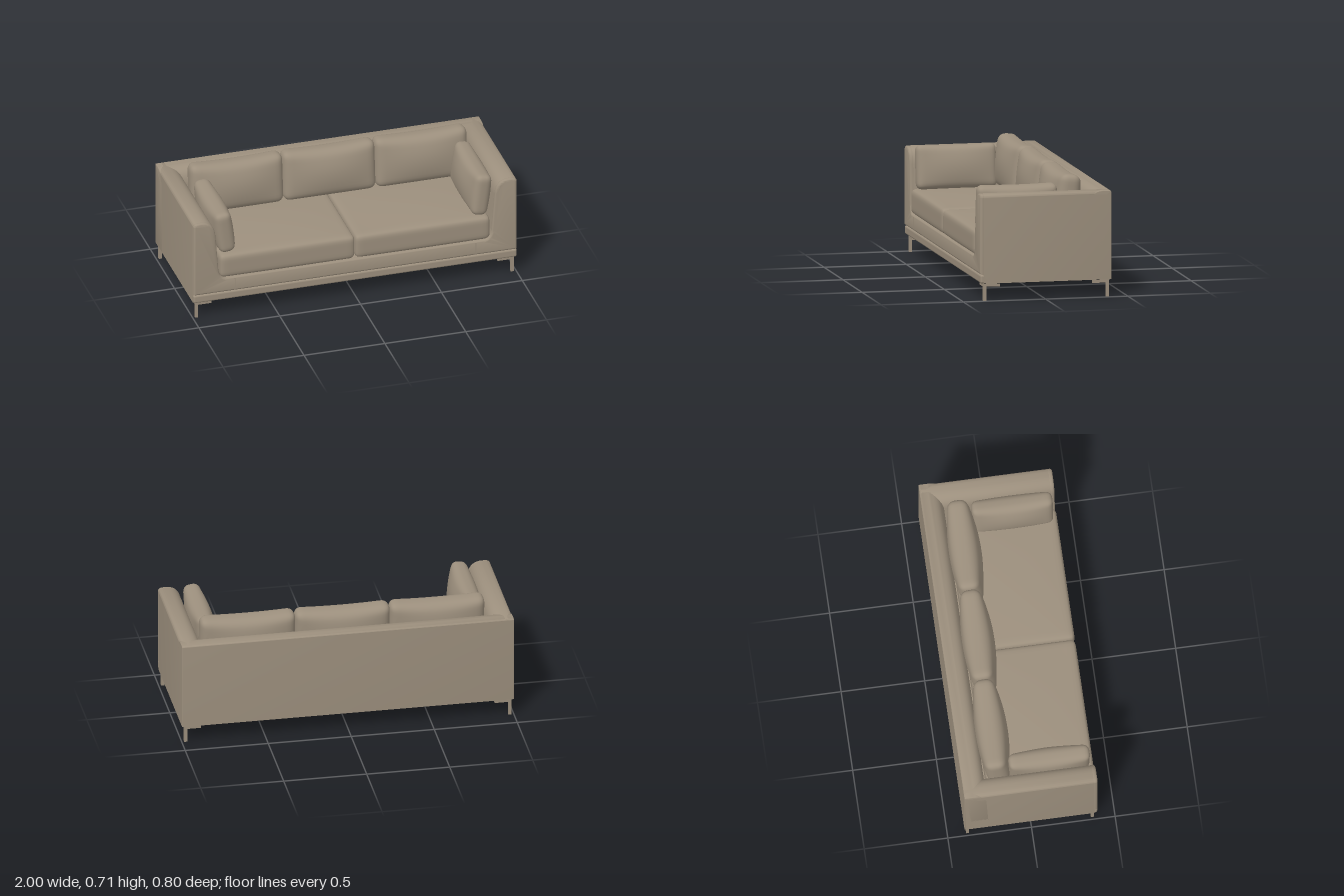
import * as THREE from 'three';
import { mergeVertices, toCreasedNormals } from 'three/addons/utils/BufferGeometryUtils.js';
import { RoundedBoxGeometry } from 'three/addons/geometries/RoundedBoxGeometry.js';

const fabric = new THREE.MeshStandardMaterial({ color: 0x9c8f7d });
fabric.name = 'taupe fabric';
const lining = new THREE.MeshStandardMaterial({ color: 0x111111 });
lining.name = 'black lining';

function add(parent, name, geometry, material = fabric) {
  const mesh = new THREE.Mesh(geometry, material);
  mesh.name = name;
  parent.add(mesh);
  return mesh;
}

// Stuffed cushion lying in the xy plane: rounded box, thicker by `crown` in the
// middle of each face, with the top edge dipped by `dip` between the corners.
function cushionGeometry(w, h, t, r, crown, dip) {
  let g = new THREE.BoxGeometry(2, 2, 2, 24, 20, 12);
  g.deleteAttribute('uv');
  g.deleteAttribute('normal');
  g = mergeVertices(g);
  const half = new THREE.Vector3(w / 2, h / 2, t / 2);
  const inner = half.clone().subScalar(r);
  const p = new THREE.Vector3(), core = new THREE.Vector3();
  const pos = g.attributes.position;
  for (let i = 0; i < pos.count; i++) {
    p.fromBufferAttribute(pos, i);
    // crowd the grid towards the edges so the rounding is smooth
    p.set(...p.toArray().map((c) => Math.sin((c * Math.PI) / 2))).multiply(half);
    core.copy(p).clamp(inner.clone().negate(), inner);
    p.sub(core).setLength(r).add(core);
    const u = p.x / half.x, v = p.y / half.y;
    p.z *= 1 + (crown / half.z) * (1 - u * u) * (1 - v * v);
    if (v > 0) p.y -= dip * (1 - u * u) * v;
    pos.setXYZ(i, p.x, p.y, p.z);
  }
  g.computeVertexNormals();
  return g;
}

// U-shaped front outline of the frame, with rolled inner arm edges
function frameShape(bottom) {
  const s = new THREE.Shape();
  s.moveTo(-1, bottom);
  s.lineTo(1, bottom);
  s.lineTo(1, 0.615);
  s.quadraticCurveTo(1, 0.638, 0.965, 0.638);
  s.bezierCurveTo(0.9, 0.642, 0.868, 0.61, 0.863, 0.54);
  s.lineTo(0.845, 0.31);
  s.quadraticCurveTo(0.838, 0.248, 0.785, 0.248);
  s.lineTo(-0.785, 0.248);
  s.quadraticCurveTo(-0.838, 0.248, -0.845, 0.31);
  s.lineTo(-0.863, 0.54);
  s.bezierCurveTo(-0.868, 0.61, -0.9, 0.642, -0.965, 0.638);
  s.quadraticCurveTo(-1, 0.638, -1, 0.615);
  s.closePath();
  return s;
}

function extrude(shape, depth, bevel) {
  const g = new THREE.ExtrudeGeometry(shape, {
    depth: depth - 2 * bevel, curveSegments: 12, bevelEnabled: bevel > 0,
    bevelSize: bevel, bevelThickness: bevel, bevelOffset: -bevel, bevelSegments: 4,
  });
  g.translate(0, 0, bevel);
  return toCreasedNormals(g, 0.6);
}

export function createModel() {
  const sofa = new THREE.Group();
  sofa.name = 'sofa';

  // Frame: arms and seat deck, padded front, rolled backrest
  add(sofa, 'armsAndDeck', extrude(frameShape(0.105), 0.772, 0.004)).position.z = -0.395;
  add(sofa, 'frontPadding', extrude(frameShape(0.157), 0.036, 0.014)).position.z = 0.361;
  add(sofa, 'frontRail', new RoundedBoxGeometry(2, 0.052, 0.05, 4, 0.012)).position.set(0, 0.131, 0.37);

  const back = new THREE.Shape();
  back.moveTo(0.4, 0.105);
  back.lineTo(0.4, 0.628);
  back.quadraticCurveTo(0.4, 0.638, 0.385, 0.638);
  back.lineTo(0.35, 0.638);
  back.bezierCurveTo(0.295, 0.638, 0.27, 0.61, 0.265, 0.54);
  back.lineTo(0.25, 0.105);
  back.closePath();
  const backGeometry = extrude(back, 2, 0.004);
  backGeometry.translate(0, 0, -1).rotateY(Math.PI / 2);
  add(sofa, 'backrest', backGeometry);

  add(sofa, 'underside', new THREE.BoxGeometry(1.97, 0.006, 0.76), lining).position.set(0, 0.105, -0.008);

  // Loose cushions
  const backCushion = cushionGeometry(0.572, 0.315, 0.12, 0.045, 0.037, 0.012);
  for (const x of [-0.57, 0, 0.57]) {
    const c = add(sofa, 'backCushion', backCushion);
    c.position.set(x, 0.56, -0.18);
    c.rotation.x = -0.1;
  }

  const seatCushion = cushionGeometry(0.836, 0.645, 0.152, 0.032, 0.016, 0);
  seatCushion.rotateX(-Math.PI / 2);
  const sideCushion = cushionGeometry(0.485, 0.265, 0.095, 0.036, 0.03, 0.006);
  sideCushion.rotateY(Math.PI / 2);

  for (const side of [-1, 1]) {
    add(sofa, 'seatCushion', seatCushion).position.set(side * 0.418, 0.326, 0.076);

    const bolster = add(sofa, 'sideCushion', sideCushion);
    bolster.position.set(side * 0.793, 0.533, 0.132);
    bolster.rotation.z = -side * 0.13;

    // Raised seam on the front panel
    add(sofa, 'frontSeam', new THREE.BoxGeometry(0.004, 0.08, 0.004)).position.set(side * 0.745, 0.202, 0.396);

    // Bracket legs: a post with two flanges under the corner
    for (const end of [-1, 1]) {
      const leg = new THREE.Group();
      leg.name = 'leg';
      const z = end > 0 ? 0.366 : -0.38;
      add(leg, 'post', new THREE.BoxGeometry(0.018, 0.105, 0.018)).position.y = 0.0525;
      add(leg, 'sideFlange', new THREE.BoxGeometry(0.018, 0.02, 0.1)).position.set(0, 0.094, -end * 0.041);
      add(leg, 'crossFlange', new THREE.BoxGeometry(0.1, 0.02, 0.018)).position.set(-side * 0.041, 0.094, 0);
      leg.position.set(side * 0.976, 0, z);
      sofa.add(leg);
    }
  }
  return sofa;
}
